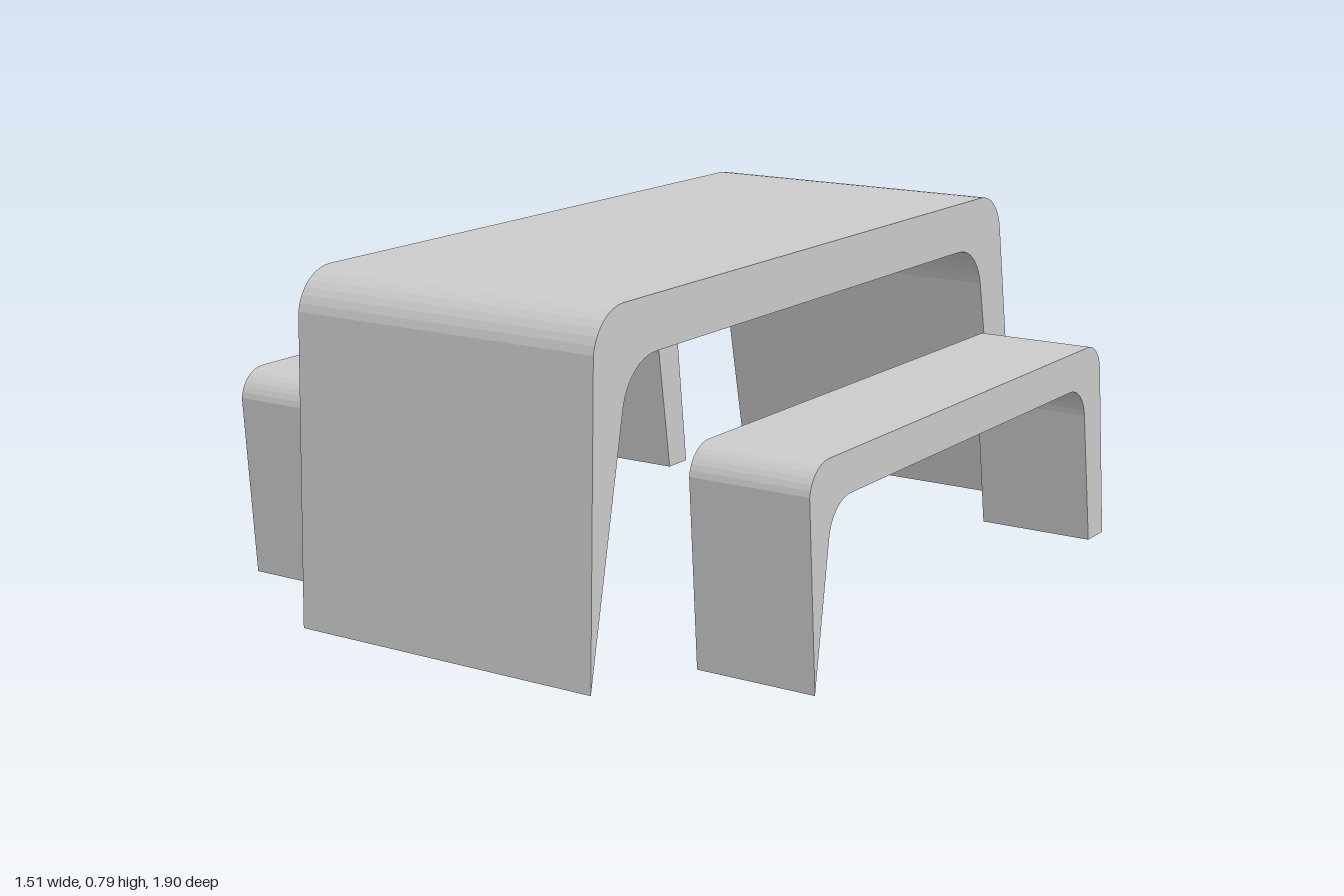
import * as THREE from 'three';

const material = new THREE.MeshStandardMaterial({ color: 0xcccccc });

// Half of an arch line: foot at (foot, 0), leaning in to a rounded shoulder under height top
function shoulder({ foot, corner, top, radius }) {
  const lean = Math.atan((foot - corner) / top);
  const tangent = radius * Math.tan((Math.PI / 2 - lean) / 2);
  return { foot, radius, lean, cz: corner - tangent, cy: top - radius };
}

// Bent-slab profile (drawn in z, y) extruded across x, centred on x = 0
function bentSlab(outer, inner, width) {
  const o = shoulder(outer), i = shoulder(inner);
  const s = new THREE.Shape();
  s.moveTo(o.foot, 0);
  s.absarc(o.cz, o.cy, o.radius, o.lean, Math.PI / 2, false);
  s.absarc(-o.cz, o.cy, o.radius, Math.PI / 2, Math.PI - o.lean, false);
  s.lineTo(-o.foot, 0);
  s.lineTo(-i.foot, 0);
  s.absarc(-i.cz, i.cy, i.radius, Math.PI - i.lean, Math.PI / 2, true);
  s.absarc(i.cz, i.cy, i.radius, Math.PI / 2, i.lean, true);
  s.lineTo(i.foot, 0);
  s.closePath();
  const geometry = new THREE.ExtrudeGeometry(s, { depth: width, bevelEnabled: false, curveSegments: 4 });
  geometry.translate(0, 0, -width / 2);
  geometry.rotateY(-Math.PI / 2);
  return geometry;
}

export function createModel() {
  const group = new THREE.Group();
  const add = (name, geometry, x) => {
    const mesh = new THREE.Mesh(geometry, material);
    mesh.name = name;
    mesh.position.x = x;
    group.add(mesh);
  };

  // Table: one wide slab folded down at both ends
  add('table', bentSlab(
    { foot: 1, corner: 0.865, top: 0.79, radius: 0.107 },
    { foot: 0.9, corner: 0.76, top: 0.67, radius: 0.122 },
    0.77), -0.007);

  // Matching lower benches on either side
  const bench = bentSlab(
    { foot: 0.73, corner: 0.672, top: 0.487, radius: 0.073 },
    { foot: 0.65, corner: 0.59, top: 0.395, radius: 0.086 },
    0.285);
  add('leftBench', bench, 0.613);
  add('rightBench', bench, -0.615);

  return group;
}
